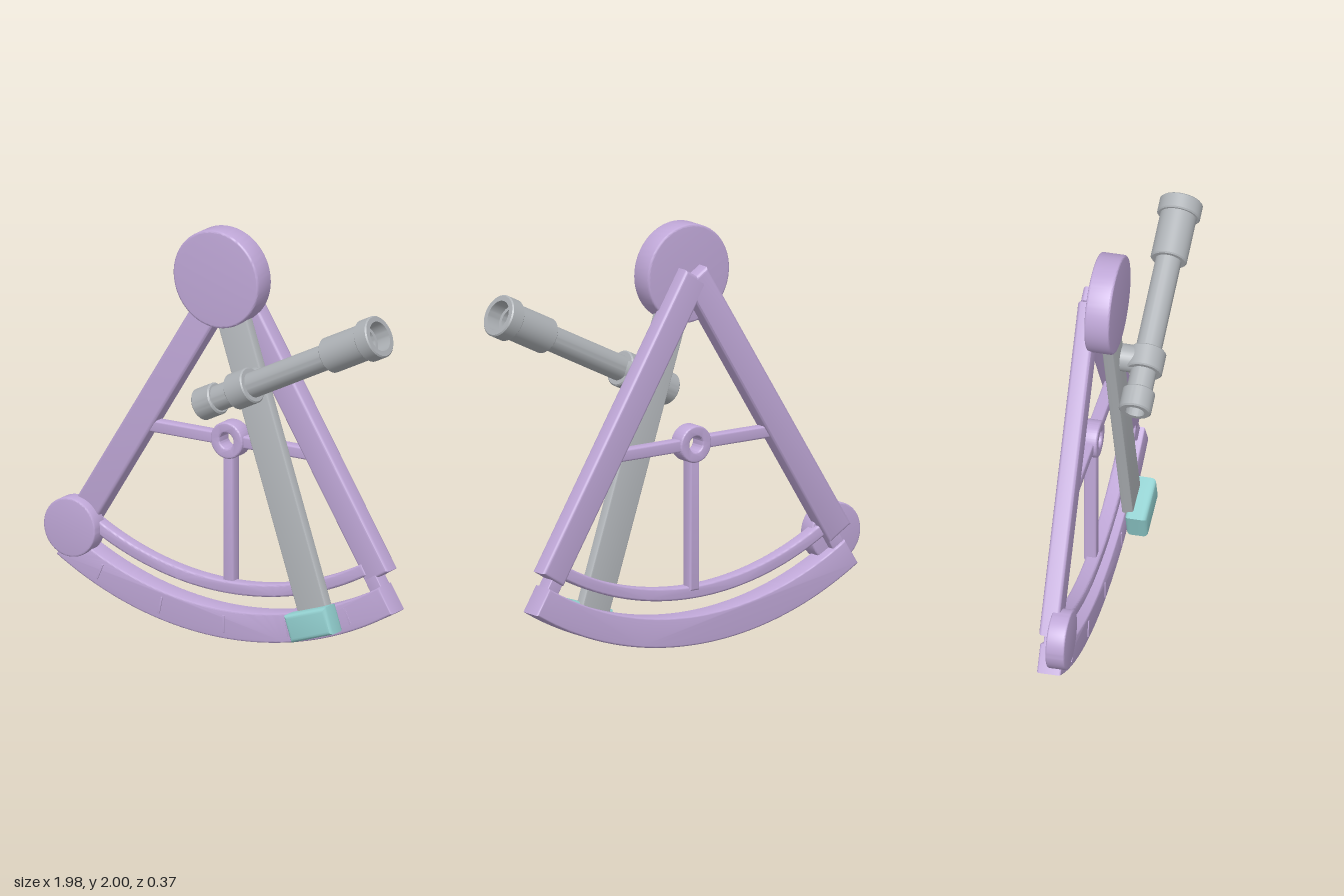
import * as THREE from 'three';
import { toCreasedNormals } from 'three/addons/utils/BufferGeometryUtils.js';

const PIVOT = { x: -0.015, y: 1.765 }; // everything swings about this point
const HALF_ANGLE = 0.555;
const ARM_ANGLE = 0.322;

export function createModel() {
  const root = new THREE.Group();
  root.name = 'sextant';
  const material = (name, color) => {
    const m = new THREE.MeshStandardMaterial({ color });
    m.name = name;
    return m;
  };
  const lilac = material('lilac frame', 0xc0a8d8);
  const grey = material('light grey arm', 0xb8bcc0);
  const steel = material('grey telescope', 0xaeb2b6);
  const teal = material('teal clamp', 0x94d2d2);

  const add = (name, geometry, mat, parent = root) => {
    const mesh = new THREE.Mesh(geometry, mat);
    mesh.name = name;
    parent.add(mesh);
    return mesh;
  };

  // Bevelled plate filling z0..z1, with the bevel kept inside the outline
  const plate = (shape, z0, z1, bevel) => {
    const g = new THREE.ExtrudeGeometry(shape, {
      depth: z1 - z0 - 2 * bevel, bevelEnabled: true, bevelThickness: bevel,
      bevelSize: bevel, bevelOffset: -bevel, bevelSegments: 3, curveSegments: 48,
    });
    g.translate(0, 0, z0 + bevel);
    return toCreasedNormals(g, 0.6);
  };
  const rect = (x0, x1, y0, y1) => new THREE.Shape([
    new THREE.Vector2(x0, y0), new THREE.Vector2(x1, y0),
    new THREE.Vector2(x1, y1), new THREE.Vector2(x0, y1),
  ]);
  const disc = (r, hole = 0) => {
    const s = new THREE.Shape();
    s.absarc(0, 0, r, 0, Math.PI * 2, false);
    if (hole) {
      const h = new THREE.Path();
      h.absarc(0, 0, hole, 0, Math.PI * 2, true);
      s.holes.push(h);
    }
    return s;
  };
  const arcBand = (rIn, rOut, half) => {
    const s = new THREE.Shape();
    const down = -Math.PI / 2;
    s.absarc(0, 0, rOut, down - half, down + half, false);
    s.absarc(0, 0, rIn, down + half, down - half, true);
    s.closePath();
    return s;
  };
  // Plate hanging from the pivot, swung by an angle
  const swung = (name, shape, z0, z1, bevel, angle, mat, parent = root) => {
    const mesh = add(name, plate(shape, z0, z1, bevel), mat, parent);
    mesh.position.set(PIVOT.x, PIVOT.y, 0);
    mesh.rotation.z = angle;
    return mesh;
  };

  // Frame: side bars, links to the limb, curved limb and inner arc
  const frame = new THREE.Group();
  frame.name = 'frame';
  root.add(frame);
  for (const [side, s] of [['left', 1], ['right', -1]]) {
    swung(side + 'SideBar', rect(-0.07, 0.07, -1.576, 0), -0.18, -0.09, 0.015, s * HALF_ANGLE, lilac, frame);
    swung(side + 'LimbLink', rect(-0.035, 0.035, -1.66, -1.54), -0.165, -0.09, 0.005, s * 0.533, lilac, frame);
  }
  swung('graduatedLimb', arcBand(1.62, 1.76, HALF_ANGLE), -0.18, -0.066, 0.008, 0, lilac, frame);
  swung('innerArc', arcBand(1.485, 1.545, 0.525), -0.15, -0.084, 0.01, 0, lilac, frame);

  // Engraved scale marks
  for (let i = -2; i <= 2; i++) {
    swung('scaleMark', rect(-0.005, 0.005, -1.73, -1.648), -0.068, -0.061, 0.001, i * 0.209, lilac, frame);
  }

  // Inner bracing and ring
  const hub = { x: PIVOT.x, y: 0.96 };
  const brace = (name, shape, z0, z1, bevel) => {
    add(name, plate(shape, z0, z1, bevel), lilac, frame).position.set(hub.x, hub.y, 0);
  };
  brace('leftCrossBar', rect(0.065, 0.47, -0.029, 0.029), -0.16, -0.1, 0.01);
  brace('rightCrossBar', rect(-0.47, -0.065, -0.029, 0.029), -0.16, -0.1, 0.01);
  brace('uprightBar', rect(-0.028, 0.028, -0.7, -0.065), -0.16, -0.1, 0.01);
  brace('centreRing', disc(0.088, 0.038), -0.17, -0.085, 0.008);

  // Round bosses
  swung('topDisc', disc(0.235), -0.112, 0.007, 0.01, 0, lilac);
  add('lowerDisc', plate(disc(0.142), -0.128, -0.038, 0.008), lilac).position.set(-0.853, 0.418, 0);

  // Swinging index arm and clamp
  swung('indexArm', rect(-0.083, 0.083, -1.66, 0), -0.082, -0.028, 0.008, ARM_ANGLE, grey);
  swung('clampBlock', rect(-0.121, 0.121, -1.739, -1.606), -0.062, 0.042, 0.02, ARM_ANGLE, teal);

  // Telescope: hollow profile turned about its axis, [radius, distance]
  const telescope = new THREE.Group();
  telescope.name = 'telescope';
  telescope.position.set(-0.045, 1.173, 0.084);
  telescope.rotation.z = 0.459 - Math.PI / 2;
  root.add(telescope);
  const turned = (name, points) => {
    const g = new THREE.LatheGeometry(points.map(([r, d]) => new THREE.Vector2(r, d)), 48);
    add(name, toCreasedNormals(g, 0.6), steel, telescope);
  };
  turned('eyepiece', [[0, 0.06], [0.046, 0.06], [0.046, 0], [0.07, 0], [0.077, 0.007],
    [0.077, 0.103], [0.07, 0.11], [0.055, 0.11]]);
  turned('tube', [[0.061, 0.1], [0.061, 0.81]]);
  turned('collar', [[0.055, 0.208], [0.081, 0.208], [0.087, 0.214], [0.087, 0.314], [0.081, 0.32], [0.055, 0.32]]);
  turned('objectiveBarrel', [[0.055, 0.795], [0.08, 0.795], [0.086, 0.801], [0.086, 1.035]]);
  turned('objectiveRim', [[0.08, 1.026], [0.096, 1.026], [0.102, 1.032], [0.102, 1.098],
    [0.096, 1.104], [0.072, 1.104], [0.072, 1.03], [0.055, 1.03], [0.055, 0.87], [0, 0.87]]);

  // Post joining the collar to the arm
  const post = add('telescopeMount', new THREE.CylinderGeometry(0.065, 0.065, 0.1, 32), steel);
  post.rotation.x = Math.PI / 2;
  post.position.set(0.19, 1.298, 0.015);

  return root;
}
